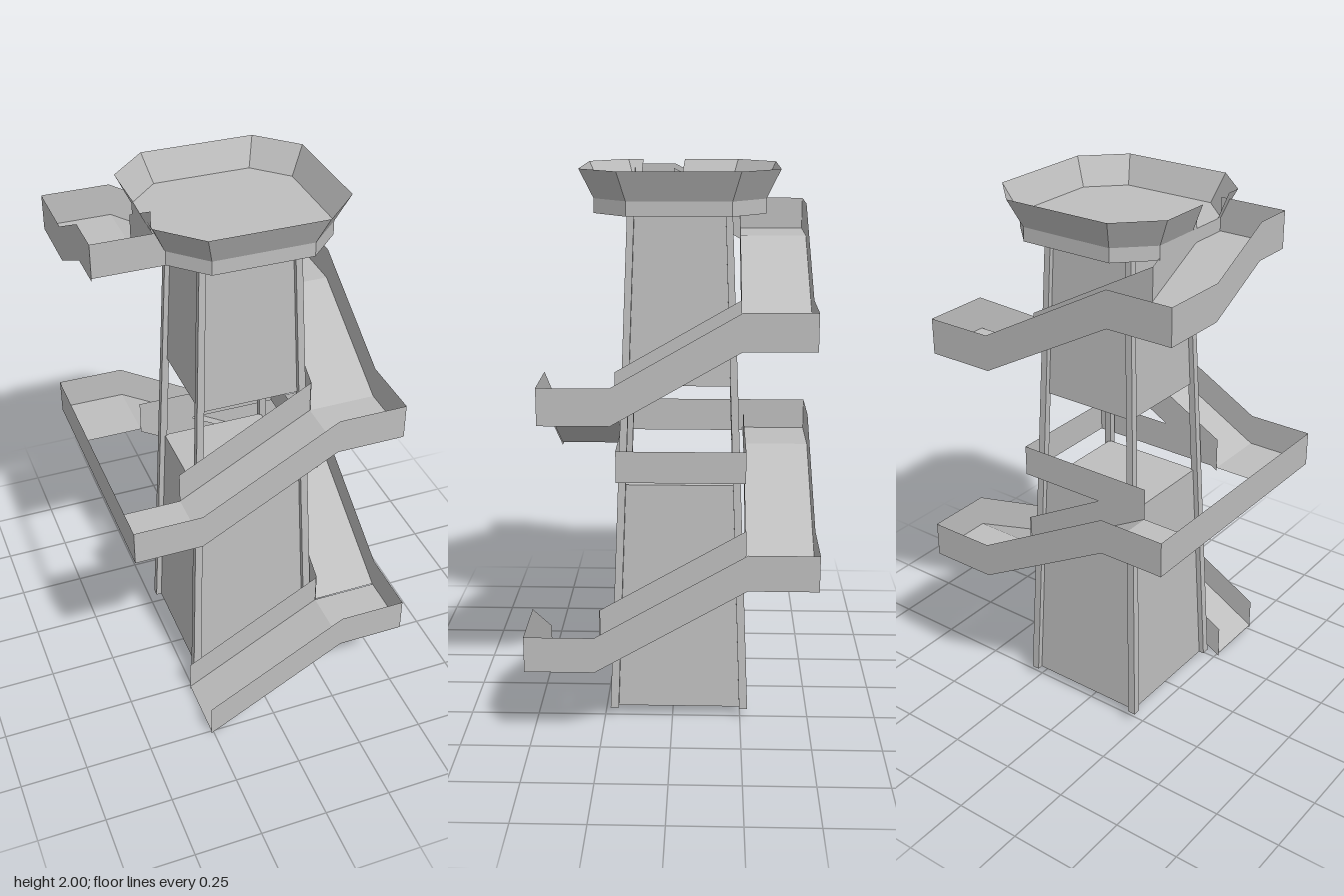
import * as THREE from 'three';

const CX = 0.022, CZ = -0.024; // tower axis
const WALL = 0.13;             // height of the ramp side walls
const LIFT = 0.012;            // ramp floor above the lower wall edge

export function createModel() {
  const model = new THREE.Group();
  model.name = 'rampTower';
  const grey = new THREE.MeshStandardMaterial({ color: 0xbebebe, side: THREE.DoubleSide });
  grey.name = 'plain grey';

  const add = (name, geometry, parent = model) => {
    const mesh = new THREE.Mesh(geometry, grey);
    mesh.name = name;
    parent.add(mesh);
    return mesh;
  };

  // Flat-shaded sheet between two polylines of [x, y, z] points
  const ribbon = (a, b) => {
    const pos = [];
    for (let i = 0; i < a.length - 1; i++) {
      pos.push(...a[i], ...a[i + 1], ...b[i + 1], ...a[i], ...b[i + 1], ...b[i]);
    }
    const g = new THREE.BufferGeometry();
    g.setAttribute('position', new THREE.Float32BufferAttribute(pos, 3));
    g.computeVertexNormals();
    return g;
  };
  const raise = (line, h) => line.map(([x, y, z]) => [x, y + h, z]);

  // Square frustum, optionally with its top shifted sideways
  const frustum = (x0, z0, h0, y0, x1, z1, h1, y1) => {
    const g = new THREE.BoxGeometry(2, 1, 2);
    const p = g.attributes.position;
    for (let i = 0; i < p.count; i++) {
      const top = p.getY(i) > 0, h = top ? h1 : h0;
      p.setXYZ(i, (top ? x1 : x0) + p.getX(i) * h, top ? y1 : y0, (top ? z1 : z0) + p.getZ(i) * h);
    }
    g.computeVertexNormals();
    return g;
  };

  // Tower: two tapered rooms with an open storey between, and four leaning legs
  const half = (y) => THREE.MathUtils.mapLinear(y, 0.04, 1.85, 0.238, 0.168);
  const room = (name, y0, y1) =>
    add(name, frustum(CX, CZ, half(y0) - 0.006, y0, CX, CZ, half(y1) - 0.006, y1));
  room('lowerRoom', 0.04, 0.89);
  room('upperRoom', 1.25, 1.85);
  for (const sx of [-1, 1]) for (const sz of [-1, 1]) {
    const a = half(0.04), b = half(1.85);
    add('leg', frustum(CX + sx * a, CZ + sz * a, 0.015, 0.04, CX + sx * b, CZ + sz * b, 0.012, 1.85));
  }

  // Top platform: octagonal slab with a flared rim, open on the ramp side
  const octagon = (h, c, y) => [
    [-h, -c], [-c, -h], [c, -h], [h, -c], [h, c], [c, h], [-c, h], [-h, c],
  ].map(([x, z]) => [CX + x, y, CZ + z]);
  const inner = octagon(0.293, 0.177, 1.9), outer = octagon(0.34, 0.205, 2);
  const at = (p, z) => [p[0], p[1], z];
  const slab = new THREE.Shape(inner.map(([x, , z]) => new THREE.Vector2(x, -z)));
  add('topPlatform', new THREE.ExtrudeGeometry(slab, { depth: 0.05, bevelEnabled: false })
    .rotateX(-Math.PI / 2).translate(0, 1.85, 0));
  add('topRim', ribbon(
    [at(inner[0], -0.012), ...inner, at(inner[7], 0.135)],
    [at(outer[0], -0.03), ...outer, at(outer[7], 0.125)]));

  // Ramp along one side: path of [distance, height], outer and inner edge,
  // first floor point and the range of points that carry an inner wall
  const ramp = (name, axis, path, out, inn, floorFrom, w0, w1) => {
    const group = new THREE.Group();
    group.name = name;
    model.add(group);
    const line = (v) => path.map(([u, y]) => (axis === 'x' ? [u, y, v] : [v, y, u]));
    const o = line(out), n = line(inn);
    add('rampFloor', ribbon(raise(o, LIFT).slice(floorFrom), raise(n, LIFT).slice(floorFrom)), group);
    add('outerWall', ribbon(o, raise(o, WALL)), group);
    const w = n.slice(w0, w1 + 1);
    add('innerWall', ribbon(w, raise(w, WALL)), group);
  };

  // Lower flight, from the ground up to the open storey
  ramp('lowerFrontRamp', 'x', [[-0.26, 0], [0.265, 0.295], [0.515, 0.295]], 0.51, 0.268, 0, 0, 1);
  ramp('lowerLeftRamp', 'z', [[0.51, 0.295], [0.265, 0.295], [-0.265, 0.605], [-0.51, 0.605]],
    0.515, 0.268, 1, 1, 2);
  ramp('lowerBackRamp', 'x', [[0.515, 0.605], [0.265, 0.605], [-0.26, 0.9], [-0.505, 0.9]],
    -0.51, -0.262, 1, 1, 2);

  // Upper flight, from the open storey to the top platform
  ramp('upperFrontRamp', 'x', [[-0.505, 0.9], [-0.26, 0.9], [0.235, 1.175], [0.485, 1.175]],
    0.447, 0.202, 0, 1, 2);
  ramp('upperLeftRamp', 'z', [[0.447, 1.175], [0.202, 1.175], [-0.238, 1.43], [-0.485, 1.43]],
    0.485, 0.237, 1, 1, 2);
  ramp('upperBackRamp', 'x', [[0.485, 1.43], [0.237, 1.43], [-0.27, 1.71], [-0.515, 1.71]],
    -0.485, -0.238, 1, 1, 2);
  ramp('upperRightRamp', 'z', [[-0.485, 1.71], [-0.238, 1.71], [0.01, 1.84], [0.155, 1.84]],
    -0.515, -0.27, 1, 1, 2);

  // Upright sheets: landing end, connecting rail and rail of the open storey
  const sheet = (name, pts, y0, y1) =>
    add(name, ribbon(pts.map(([x, z]) => [x, y0, z]), pts.map(([x, z]) => [x, y1, z])));
  sheet('landingEnd', [[-0.515, 0.155], [-0.27, 0.155]], 1.85, 1.97);
  sheet('connectingRail', [[-0.505, -0.51], [-0.505, 0.447]], 0.9, 1.03);
  sheet('storeyRail', [[-0.26, 0.2], [0.28, 0.2], [0.28, -0.26], [-0.26, -0.26]], 0.915, 1.03);

  return model;
}
